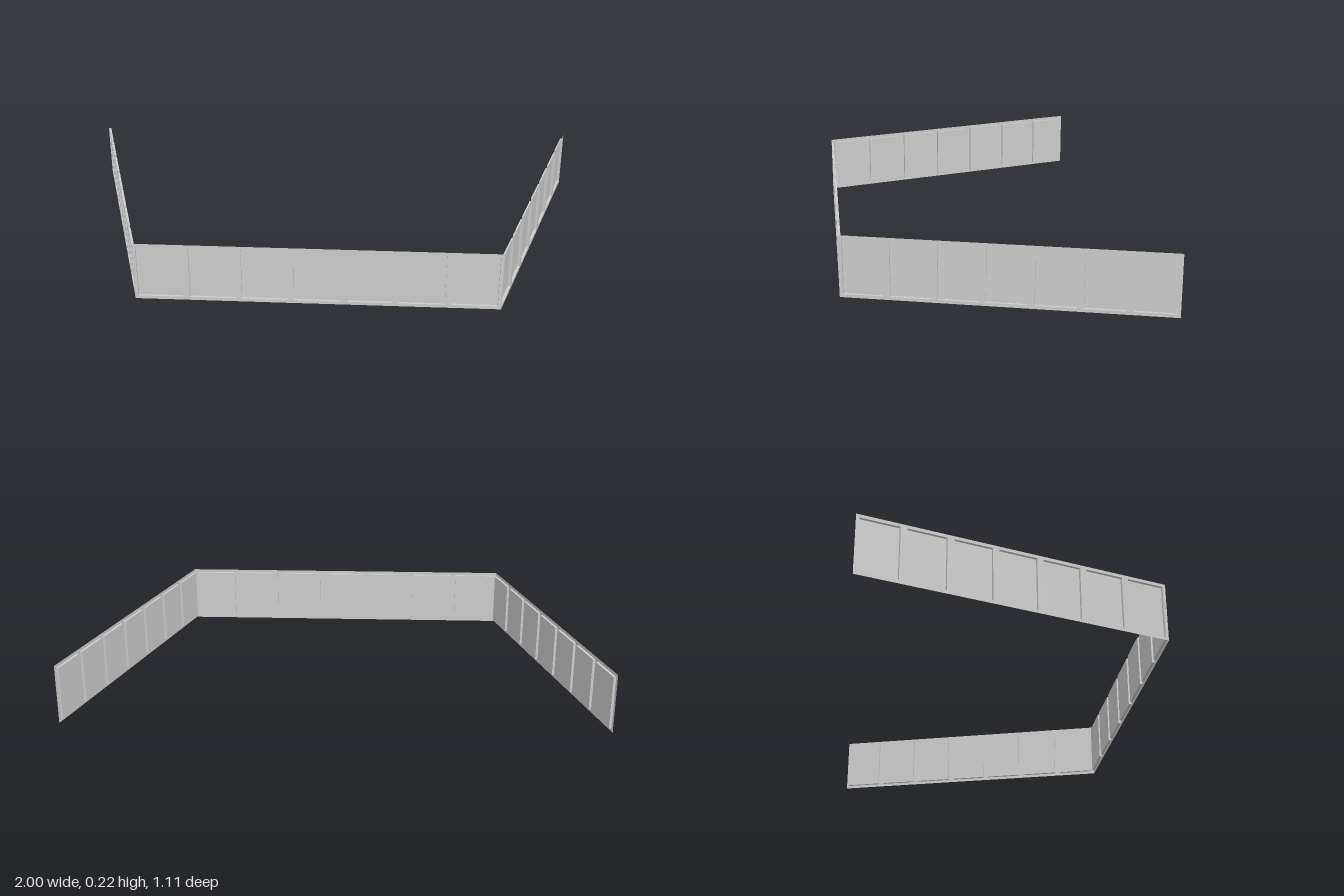
import * as THREE from 'three';

const HEIGHT = 0.225, MARGIN = 0.012, DEPTH = 0.01, PANELS = 7;
const material = new THREE.MeshStandardMaterial({ color: 0xcccccc, side: THREE.DoubleSide });

function rectangle(path, x0, y0, x1, y1) {
  path.moveTo(x0, y0);
  path.lineTo(x1, y0);
  path.lineTo(x1, y1);
  path.lineTo(x0, y1);
  path.closePath();
  return path;
}

// Shallow tray, open on its outward (+z) side
function trayGeometry(w, h) {
  const geometry = new THREE.BoxGeometry(w, h, DEPTH);
  const index = Array.from(geometry.index.array);
  index.splice(24, 6);
  geometry.setIndex(index);
  geometry.clearGroups();
  return geometry;
}

// Thin wall from a to b (x, z), with a row of panels recessed from its outer face
function createWall(name, [ax, az], [bx, bz]) {
  const wall = new THREE.Group();
  wall.name = name;
  const length = Math.hypot(bx - ax, bz - az);
  const pitch = length / PANELS;
  const w = pitch - 2 * MARGIN, h = HEIGHT - 2 * MARGIN;

  const sheet = rectangle(new THREE.Shape(), 0, 0, length, HEIGHT);
  const tray = trayGeometry(w, h);
  for (let i = 0; i < PANELS; i++) {
    const x = i * pitch + MARGIN;
    sheet.holes.push(rectangle(new THREE.Path(), x, MARGIN, x + w, MARGIN + h));
    const panel = new THREE.Mesh(tray, material);
    panel.name = 'recessedPanel';
    panel.position.set(x + w / 2, HEIGHT / 2, -DEPTH / 2);
    wall.add(panel);
  }
  const frame = new THREE.Mesh(new THREE.ShapeGeometry(sheet), material);
  frame.name = 'wallFrame';
  wall.add(frame);

  wall.position.set(ax, 0, az);
  wall.rotation.y = Math.atan2(az - bz, bx - ax);
  return wall;
}

export function createModel() {
  const model = new THREE.Group();
  model.name = 'panelledWall';
  // Plan corners, from the right rear end round to the left rear end
  const corners = [[-1, -0.555], [-0.665, 0.555], [0.665, 0.555], [1, -0.555]];
  ['rightWall', 'frontWall', 'leftWall'].forEach((name, i) =>
    model.add(createWall(name, corners[i], corners[i + 1])));
  return model;
}
